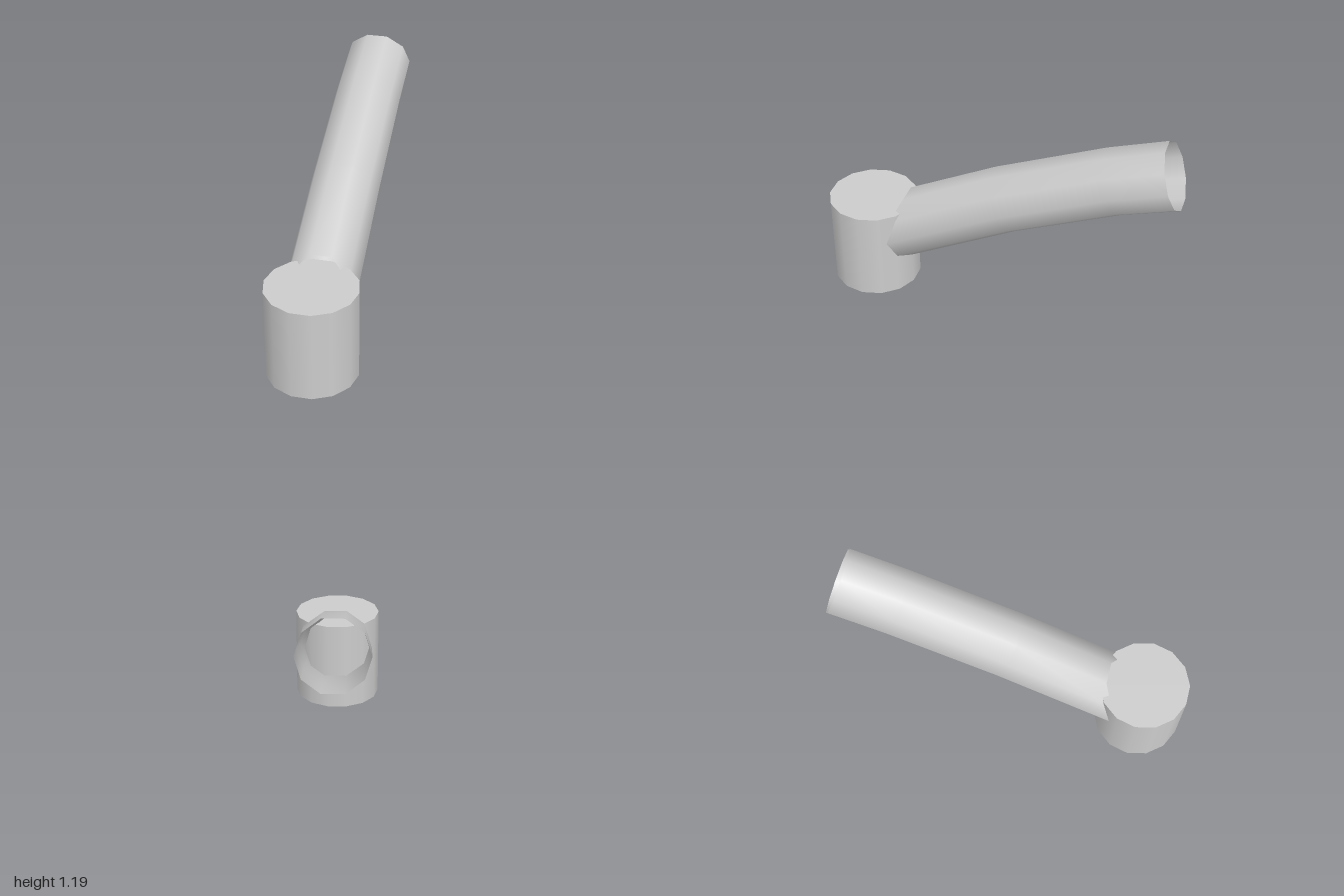
import * as THREE from 'three';

// Open, smooth pipe skinned through rings that lean in the y-z plane
function sweptPipe(rings, sides) {
  const positions = [];
  const indices = [];
  rings.forEach(({ y, z, upY, upZ, halfWidth }, i) => {
    for (let j = 0; j < sides; j++) {
      const a = (j / sides) * Math.PI * 2;
      const s = Math.sin(a);
      positions.push(halfWidth * Math.cos(a), y + upY * s, z + upZ * s);
      if (i === rings.length - 1) continue;
      const p = i * sides + j;
      const q = i * sides + ((j + 1) % sides);
      indices.push(p, p + sides, q, q, p + sides, q + sides);
    }
  });
  const geometry = new THREE.BufferGeometry();
  geometry.setAttribute('position', new THREE.Float32BufferAttribute(positions, 3));
  geometry.setIndex(indices);
  geometry.computeVertexNormals();
  return geometry;
}

export function createModel() {
  const model = new THREE.Group();
  model.name = 'pipeFitting';

  const grey = new THREE.MeshStandardMaterial({ color: 0xcccccc, side: THREE.DoubleSide });
  grey.name = 'plain grey';

  // Upright drum with a corner on each side
  const height = 0.525;
  const base = new THREE.Mesh(new THREE.CylinderGeometry(0.25, 0.25, height, 14), grey);
  base.name = 'base';
  base.rotation.y = Math.PI / 2;
  base.position.set(0, height / 2, 0.756);
  model.add(base);

  // Bent pipe rising to the back; its front end is cut at a slant inside the drum
  const rings = [
    { y: 0.299, z: 0.7, upY: 0.293, upZ: -0.158, halfWidth: 0.195 },
    { y: 0.667, z: -0.03, upY: 0.171, upZ: 0.074, halfWidth: 0.191 },
    { y: 0.915, z: -0.63, upY: 0.1735, upZ: 0.063, halfWidth: 0.188 },
    { y: 1.015, z: -0.945, upY: 0.179, upZ: 0.058, halfWidth: 0.187 },
  ];
  const pipe = new THREE.Mesh(sweptPipe(rings, 10), grey);
  pipe.name = 'pipe';
  model.add(pipe);

  return model;
}
